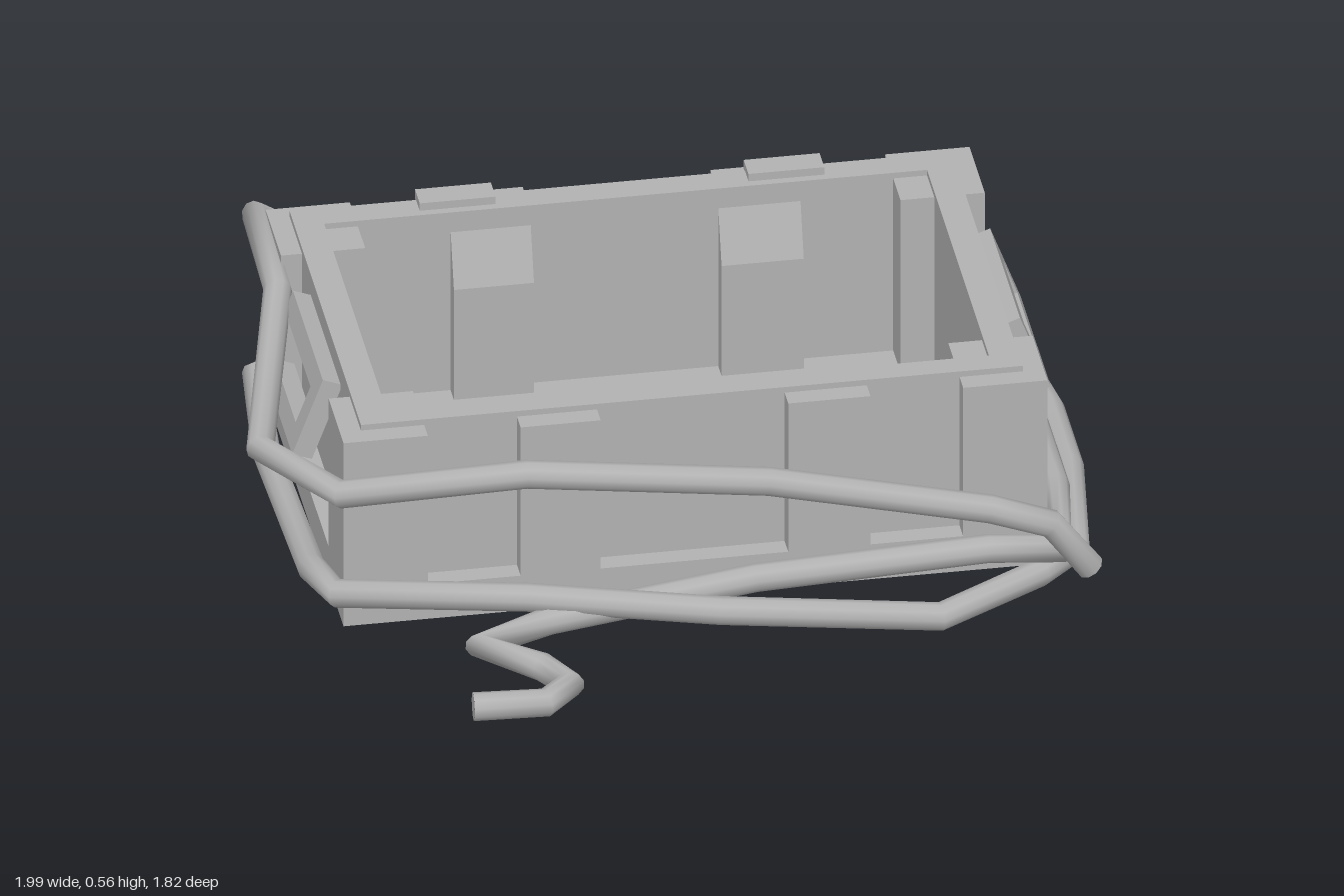
import * as THREE from 'three';

// Straight-sided path whose tube rings sit exactly on its corner points
class RopePath extends THREE.Curve {
  constructor(points) {
    super();
    this.points = points;
  }
  getPoint(t, target = new THREE.Vector3()) {
    const n = this.points.length - 1;
    const i = Math.min(Math.floor(t * n + 1e-6), n - 1);
    return target.lerpVectors(this.points[i], this.points[i + 1], t * n - i);
  }
  getPointAt(t, target) {
    return this.getPoint(t, target);
  }
  getTangentAt(t, target = new THREE.Vector3()) {
    const n = this.points.length - 1;
    const i = Math.round(t * n);
    target.set(0, 0, 0);
    if (i > 0) target.add(this.points[i].clone().sub(this.points[i - 1]).normalize());
    if (i < n) target.add(this.points[i + 1].clone().sub(this.points[i]).normalize());
    return target.normalize();
  }
}

const polygon = pts => pts.map(p => new THREE.Vector2(p[0], p[1]));
const rect = (x0, x1, z0, z1) => polygon([[x0, z0], [x1, z0], [x1, z1], [x0, z1]]);

export function createModel() {
  const group = new THREE.Group();
  const grey = new THREE.MeshStandardMaterial({ color: 0xb2b2b2 });
  grey.name = 'plain grey';

  const add = (name, geometry, parent = group) => {
    const mesh = new THREE.Mesh(geometry, grey);
    mesh.name = name;
    parent.add(mesh);
    return mesh;
  };
  const box = (name, x0, x1, y0, y1, z0, z1) =>
    add(name, new THREE.BoxGeometry(x1 - x0, y1 - y0, z1 - z0))
      .position.set((x0 + x1) / 2, (y0 + y1) / 2, (z0 + z1) / 2);
  // Flat ring in plan, given height; shape y becomes world z
  const ring = (name, outer, hole, y0, y1) => {
    const shape = new THREE.Shape(outer);
    shape.holes.push(new THREE.Path(hole));
    const geometry = new THREE.ExtrudeGeometry(shape, { depth: y1 - y0, bevelEnabled: false });
    geometry.rotateX(Math.PI / 2).translate(0, y1, 0);
    add(name, geometry);
  };

  // Crate shell: walls, lower band and floor
  const wall = rect(-0.77, 0.80, -0.62, 0.36);
  const base = rect(-0.82, 0.85, -0.66, 0.41);
  ring('walls', wall, rect(-0.70, 0.73, -0.55, 0.30), 0.045, 0.545);
  ring('lowerBand', base, rect(-0.71, 0.74, -0.56, 0.31), 0.045, 0.125);
  box('floor', -0.72, 0.75, 0.045, 0.06, -0.57, 0.32);
  ring('bottomFrame', base, polygon([
    [-0.70, -0.35], [-0.45, -0.52], [0.48, -0.52], [0.62, -0.40],
    [0.62, 0.15], [0.48, 0.27], [-0.45, 0.27], [-0.70, 0.12]]), 0.03, 0.045);

  // Corner posts reach through the walls into the inside
  for (const [x0, x1] of [[-0.82, -0.62], [0.65, 0.85]])
    for (const [z0, z1] of [[-0.66, -0.45], [0.205, 0.41]])
      box('cornerPost', x0, x1, 0.05, 0.53, z0, z1);

  // Ribs on the long walls, with sloped tops on the inside
  for (const [x0, x1] of [[-0.40, -0.21], [0.235, 0.43]]) {
    box('frontRib', x0, x1, 0.05, 0.53, 0.34, 0.41);
    box('backRib', x0, x1, 0.05, 0.53, -0.66, -0.60);
    for (const [zWall, zIn] of [[0.31, 0.24], [-0.56, -0.505]]) {
      const profile = new THREE.Shape(polygon([[-zWall, 0.05], [-zIn, 0.05], [-zIn, 0.36], [-zWall, 0.52]]));
      const geometry = new THREE.ExtrudeGeometry(profile, { depth: x1 - x0, bevelEnabled: false });
      geometry.rotateY(Math.PI / 2).translate(x0, 0, 0);
      add('innerRib', geometry);
    }
  }

  // Hinge plates on the back rim
  for (const x of [-0.38, 0.40]) box('hingePlate', x - 0.09, x + 0.09, 0.54, 0.565, -0.635, -0.57);

  // End handles: tilted frames, lower edge standing out
  for (const side of [1, -1]) {
    const shape = new THREE.Shape(rect(-0.205, 0.205, -0.208, 0));
    shape.holes.push(new THREE.Path(rect(-0.145, 0.145, -0.155, -0.055)));
    const geometry = new THREE.ExtrudeGeometry(shape, { depth: 0.05, bevelEnabled: false });
    geometry.translate(0, 0, -0.05).rotateX(-0.358).rotateY(side * Math.PI / 2);
    add(side > 0 ? 'leftHandle' : 'rightHandle', geometry)
      .position.set(0.015 + side * 0.827, 0.505, -0.125);
  }

  // One rope: loose tail, low loop round the crate, then a rising loop
  const path = [
    // tail and first front run
    [-0.59, 0.055, 0.86], [-0.42, 0.055, 0.87], [-0.35, 0.055, 0.80], [-0.40, 0.055, 0.71],
    [-0.53, 0.06, 0.60], [-0.35, 0.07, 0.53], [0.15, 0.09, 0.455], [0.70, 0.125, 0.475], [0.87, 0.11, 0.48],
    // left end and loose back run
    [0.905, 0.11, 0.20], [0.91, 0.09, -0.35], [0.87, 0.06, -0.69],
    [0.49, 0.033, -0.85], [0.01, 0.09, -0.882], [-0.47, 0.09, -0.85], [-0.84, 0.06, -0.69],
    // right end and low front run
    [-0.87, 0.05, -0.36], [-0.86, 0.07, 0.20], [-0.84, 0.14, 0.44],
    [-0.40, 0.12, 0.50], [0.05, 0.07, 0.555], [0.56, 0.04, 0.62], [0.82, 0.05, 0.48],
    // left end and back run rising
    [0.92, 0.06, 0.40], [0.965, 0.065, 0.05], [0.965, 0.065, -0.22], [0.94, 0.06, -0.42], [0.865, 0.05, -0.69],
    [0.45, 0.14, -0.695], [-0.55, 0.29, -0.745], [-0.84, 0.50, -0.69],
    // right end and upper front run
    [-0.84, 0.48, -0.38], [-0.962, 0.34, 0.09], [-0.83, 0.41, 0.44],
    [-0.40, 0.45, 0.49], [0.18, 0.35, 0.455], [0.70, 0.245, 0.495], [0.84, 0.20, 0.51], [0.94, 0.05, 0.47],
  ].map(p => new THREE.Vector3(...p));
  const rope = new THREE.Group();
  rope.name = 'rope';
  group.add(rope);
  const radius = 0.034;
  add('ropeStrand', new THREE.TubeGeometry(new RopePath(path), path.length - 1, radius, 10), rope);
  const last = path.length - 1;
  for (const [end, next] of [[0, 1], [last, last - 1]]) {
    const cap = add('ropeEnd', new THREE.CircleGeometry(radius, 10), rope);
    cap.position.copy(path[end]);
    cap.lookAt(path[end].clone().multiplyScalar(2).sub(path[next]));
  }
  return group;
}
